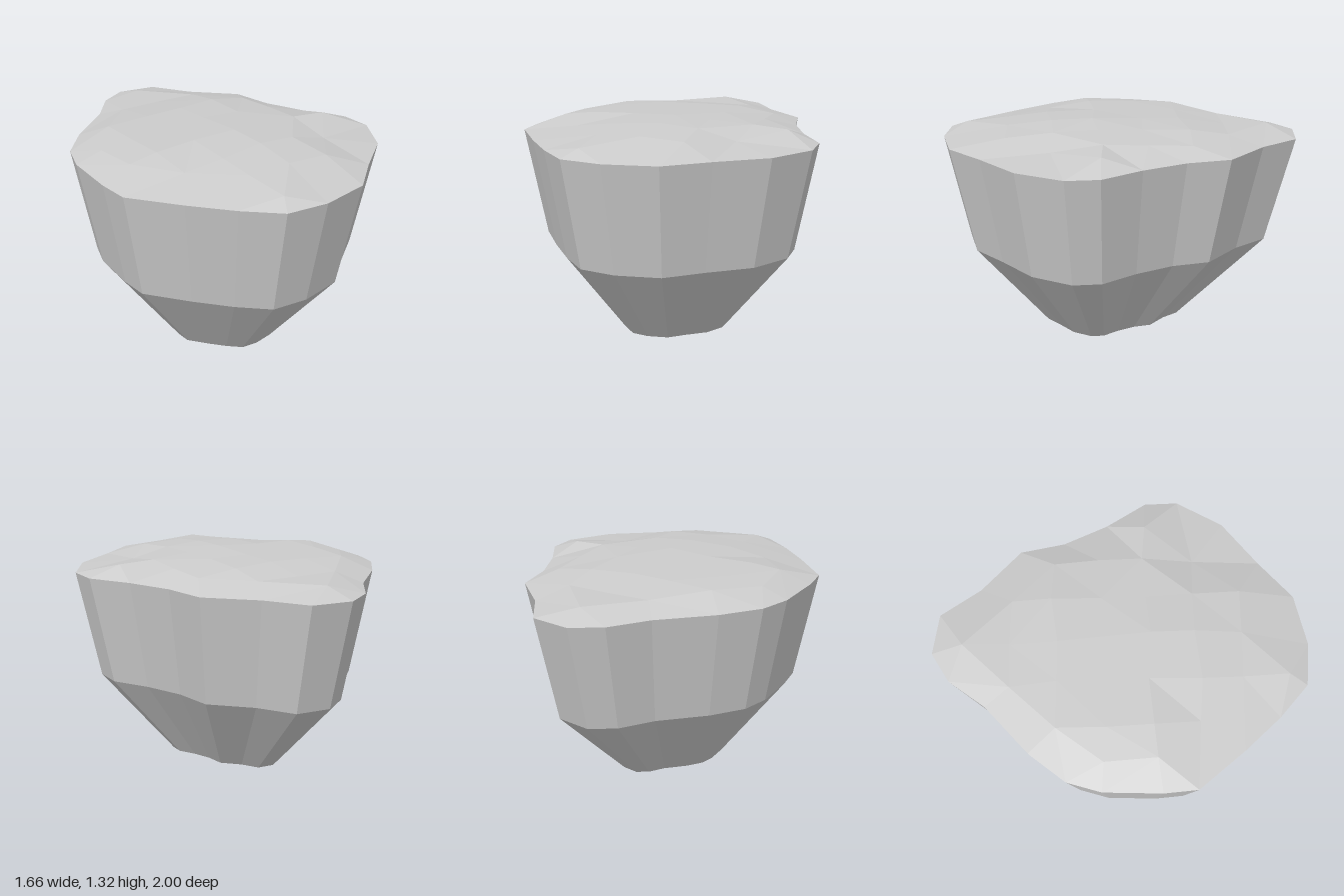
import * as THREE from 'three';
import { ConvexGeometry } from 'three/addons/geometries/ConvexGeometry.js';

// rim outline, [x, z], from the back round by the left side
const rim = [
  [-0.02, -1], [0.2, -0.96], [0.34, -0.74], [0.56, -0.52], [0.6, -0.28], [0.7, -0.04],
  [0.83, 0.18], [0.83, 0.36], [0.68, 0.6], [0.43, 0.78], [0.22, 0.95], [-0.06, 1],
  [-0.29, 0.97], [-0.46, 0.81], [-0.63, 0.61], [-0.82, 0.36], [-0.83, 0.18], [-0.81, -0.13],
  [-0.75, -0.31], [-0.59, -0.5], [-0.33, -0.72], [-0.18, -0.91],
];
const RIM_Y = 1.22;
const TIP = [-0.03, 0.1];

// height of the ground above the rim in hundredths, on a rough grid (0 = no point)
const columns = [-0.67, -0.48, -0.24, 0, 0.23, 0.45, 0.65];
const ground = [
  [-0.83, [0, 0, 0, 5, 0, 0, 0]],
  [-0.58, [0, 0, 5, 5, 5, 0, 0]],
  [-0.34, [0, 7, 8, 8.5, 8, 5, 0]],
  [-0.1, [5, 8, 8.5, 9, 8.5, 6, 0]],
  [0.15, [6.5, 8.5, 9, 10, 8.5, 7, 6]],
  [0.4, [2, 5, 8, 9.5, 8, 3, 2]],
  [0.64, [0, 4, 6, 7, 6, 3, 0]],
  [0.87, [0, 0, 4, 5, 2, 0, 0]],
];

function flatMesh(name, positions) {
  const geometry = new THREE.BufferGeometry();
  geometry.setAttribute('position', new THREE.Float32BufferAttribute(positions, 3));
  geometry.computeVertexNormals();
  const material = new THREE.MeshStandardMaterial({ color: 0xcccccc, flatShading: true });
  const mesh = new THREE.Mesh(geometry, material);
  mesh.name = name;
  return mesh;
}

// rim outline shrunk towards the tip
const ring = (y, s) => rim.map(([x, z]) => [TIP[0] + (x - TIP[0]) * s, y, TIP[1] + (z - TIP[1]) * s]);

// faceted rock walls between two rings
function band(name, upper, lower) {
  const out = [];
  upper.forEach((a, i) => {
    const j = (i + 1) % upper.length;
    const b = upper[j], c = lower[j], d = lower[i];
    out.push(...a, ...b, ...c, ...a, ...c, ...d);
  });
  return flatMesh(name, out);
}

function insideRim(x, z) {
  let inside = false;
  rim.forEach(([ax, az], i) => {
    const [bx, bz] = rim[(i + 1) % rim.length];
    if ((az > z) !== (bz > z) && x < ax + ((z - az) / (bz - az)) * (bx - ax)) inside = !inside;
  });
  return inside;
}

// keep ground points clear of the rim edges so that the edges survive triangulation
function clearOfRim(x, z) {
  return rim.every(([ax, az], i) => {
    const [bx, bz] = rim[(i + 1) % rim.length];
    const half = Math.hypot(bx - ax, bz - az) / 2;
    return Math.hypot(x - (ax + bx) / 2, z - (az + bz) / 2) > half + 0.005;
  });
}

// uneven top: the lower hull of points lifted to a paraboloid is their triangulation
function groundSurface() {
  const heights = new Map();
  const points = [];
  const key = (x, z) => x.toFixed(3) + ',' + z.toFixed(3);
  const add = (x, y, z) => {
    heights.set(key(x, z), y);
    points.push(new THREE.Vector3(x, x * x + z * z, z));
  };
  rim.forEach(([x, z]) => add(x, RIM_Y, z));
  ground.forEach(([rowZ, row], r) => row.forEach((h, c) => {
    const x = +(columns[c] + 0.012 * Math.sin(r * 5.1 + c * 2.3)).toFixed(3);
    const z = +(rowZ + 0.015 * Math.sin(r * 3.7 + c * 4.1)).toFixed(3);
    if (h && insideRim(x, z) && clearOfRim(x, z)) add(x, RIM_Y + h / 100, z);
  }));
  const hull = new ConvexGeometry(points).getAttribute('position');
  const out = [];
  for (let i = 0; i < hull.count; i += 3) {
    const [a, b, c] = [0, 1, 2].map((k) => [hull.getX(i + k), hull.getZ(i + k)]);
    const up = (b[1] - a[1]) * (c[0] - a[0]) - (b[0] - a[0]) * (c[1] - a[1]);
    if (up >= 0 || !insideRim((a[0] + b[0] + c[0]) / 3, (a[1] + b[1] + c[1]) / 3)) continue;
    for (const [x, z] of [a, c, b]) out.push(x, heights.get(key(x, z)), z);
  }
  return flatMesh('ground', out);
}

export function createModel() {
  const group = new THREE.Group();
  group.name = 'floatingIsland';
  const top = ring(RIM_Y, 1);
  const middle = ring(0.615, 0.865);
  const bottom = ring(0.108, 0.405);
  group.add(
    groundSurface(),
    band('upperCliff', top, middle),
    band('lowerCliff', middle, bottom),
    band('tip', bottom, ring(0, 0)),
  );
  return group;
}
